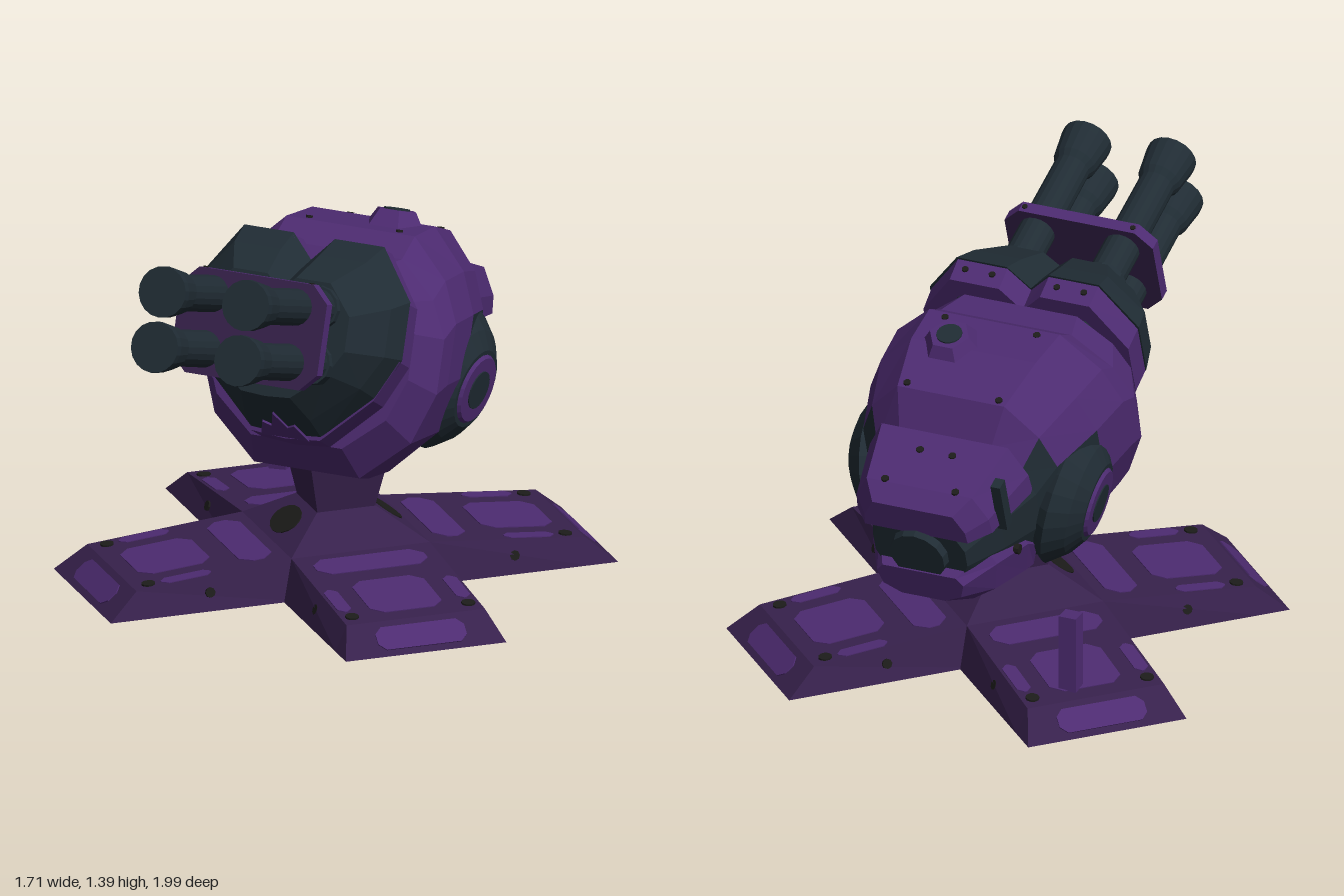
import * as THREE from 'three';

const mat = (name, color, side = THREE.FrontSide) => {
  const m = new THREE.MeshStandardMaterial({ color, side, flatShading: true });
  m.name = name;
  return m;
};
const light = mat('purple', 0x4d2b71);
const dark = mat('deepPurple', 0x37214c, THREE.DoubleSide);
const slate = mat('slate', 0x202c34);
const black = mat('black', 0x1c1c1a);
const PAINTS = [light, dark, slate, black];

function add(parent, name, geo, material, pos = [0, 0, 0], rot = [0, 0, 0]) {
  const m = new THREE.Mesh(geo, material);
  m.name = name;
  m.position.set(...pos);
  m.rotation.set(...rot);
  parent.add(m);
  return m;
}

function group(parent, name, pos = [0, 0, 0], rot = [0, 0, 0]) {
  const g = new THREE.Group();
  g.name = name;
  g.position.set(...pos);
  g.rotation.set(...rot);
  parent.add(g);
  return g;
}

// Skins rings (counter-clockwise seen from +z, ordered back to front);
// paint picks a colour per face, or -1 to leave it open
function loft(rings, paint = () => 0) {
  const tris = PAINTS.map(() => []);
  const n = rings[0].length;
  const put = (k, ...pts) => {
    if (k >= 0) pts.forEach((p) => tris[k].push(...p));
  };
  for (let i = 0; i < rings.length - 1; i++) {
    for (let j = 0; j < n; j++) {
      const q = (j + 1) % n, k = paint(i, j);
      const a = rings[i][j], b = rings[i][q], c = rings[i + 1][q], d = rings[i + 1][j];
      put(k, a, b, c);
      put(k, a, c, d);
    }
  }
  [0, rings.length - 1].forEach((e) => {
    const r = rings[e], k = paint(e ? e - 1 : 0, 0);
    const mid = [0, 1, 2].map((ax) => r.reduce((s, p) => s + p[ax], 0) / n);
    for (let j = 0; j < n; j++) {
      const q = (j + 1) % n;
      if (e) put(k, mid, r[j], r[q]);
      else put(k, mid, r[q], r[j]);
    }
  });
  const geo = new THREE.BufferGeometry();
  geo.setAttribute('position', new THREE.Float32BufferAttribute(tris.flat(), 3));
  let start = 0;
  tris.forEach((t, k) => {
    if (t.length) geo.addGroup(start, t.length / 3, k);
    start += t.length / 3;
  });
  geo.computeVertexNormals();
  return geo;
}

// Mirrors a half outline (bottom centre to top centre) and fits it to [z, top, bottom, halfWidth]
function ring(half, [z, top, bot, w]) {
  const left = half.filter((p) => p[0] > 0).reverse().map(([x, t]) => [-x, t]);
  return [...half, ...left].map(([x, t]) => [x * w, bot + ((t + 1) / 2) * (top - bot), z]);
}
const shell = (half, sections, paint) => loft(sections.map((s) => ring(half, s)), paint);

const vec2s = (pts) => pts.map((p) => new THREE.Vector2(...p));

// Thin panel with clipped corners, lying in xy
function panel(w, h, cut, depth) {
  const s = new THREE.Shape(vec2s([
    [-w + cut, -h], [w - cut, -h], [w, -h + cut], [w, h - cut],
    [w - cut, h], [-w + cut, h], [-w, h - cut], [-w, -h + cut],
  ]));
  return new THREE.ExtrudeGeometry(s, { depth, bevelEnabled: false });
}

const disc = (r, h, sides = 8) => new THREE.CylinderGeometry(r, r, h, sides);

// Hollow four-armed stand, open underneath; painted panels show on both faces of the sheet
function buildBase(model) {
  const base = group(model, 'base', [0, 0, -0.145]);
  add(base, 'hubSlope', new THREE.CylinderGeometry(0.15, 0.354, 0.1, 4, 1, true), dark, [0, 0.19, 0]);
  add(base, 'neck', new THREE.CylinderGeometry(0.23, 0.145, 0.3, 4), dark, [0, 0.38, 0]);
  add(base, 'neckFloor', new THREE.CylinderGeometry(0.14, 0.14, 0.008, 4), light, [0, 0.228, 0]);

  const armRing = (u, y, v) => [[-0.29, 0, u], [0.29, 0, u], [v, y, u], [-v, y, u]];
  const armGeo = loft(
    [armRing(0.25, 0.14, 0.25), armRing(0.81, 0.09, 0.25), armRing(0.917, 0, 0.29)],
    (i, j) => (j === 0 ? -1 : 1),
  );
  const up = [-Math.PI / 2, 0, 0];
  for (let k = 0; k < 4; k++) {
    const arm = group(base, 'arm', [0, 0, 0], [0, Math.PI / 4 + (k * Math.PI) / 2, 0]);
    add(arm, 'armSheet', armGeo, PAINTS);
    const deck = group(arm, 'deck', [0, 0.137, 0.25], [0.089, 0, 0]);
    add(deck, 'deckPanel', panel(0.13, 0.13, 0.04, 0.006), light, [0, 0, 0.37], up);
    add(deck, 'innerPanel', panel(0.2, 0.06, 0.04, 0.006), light, [0, 0, 0.1], up);
    for (const s of [-1, 1]) {
      add(deck, 'edgePanel', panel(0.025, 0.09, 0.02, 0.006), light, [s * 0.215, 0, 0.37], up);
      add(deck, 'deckBolt', disc(0.024, 0.012, 10), black, [s * 0.21, 0.003, 0.505]);
      add(arm, 'sideBolt', disc(0.018, 0.012), black, [s * 0.267, 0.06, 0.55], [0, 0, s * (0.37 - Math.PI / 2)]);
    }
    add(arm, 'endPanel', panel(0.16, 0.045, 0.025, 0.008), light, [0, 0.042, 0.861], [-0.87, 0, 0]);
    // Oval vents on two opposite hub slopes
    if (k % 2) {
      const vent = add(arm, 'vent', disc(0.06, 0.009, 16), black, [0, 0.188, 0.18], [0.607, 0, 0]);
      vent.scale.x = 1.4;
    }
  }
  add(base, 'post', new THREE.BoxGeometry(0.064, 0.29, 0.06), light, [-0.472, 0.23, -0.555]);
}

function buildHead(model) {
  const head = group(model, 'head', [0, 0.8, 0], [-0.33, 0, 0]);

  // Main shell with dark flanks and tail
  const hull = [[0, -1], [0.45, -1], [0.84, -0.62], [1, -0.15], [1, 0.35], [0.86, 0.68], [0.55, 1], [0, 1]];
  const n = hull.length * 2 - 2;
  const darkSides = [[0, 9], [0, 9], [1, 4], [1, 3]];
  add(head, 'shell', shell(hull, [
    [-0.91, 0.24, -0.03, 0.17], [-0.75, 0.31, -0.16, 0.24], [-0.6, 0.36, -0.235, 0.31], [-0.51, 0.474, -0.29, 0.36],
    [-0.3, 0.49, -0.36, 0.42], [-0.12, 0.455, -0.385, 0.44], [-0.04, 0.375, -0.386, 0.44], [0.08, 0.34, -0.29, 0.38],
  ], (i, j) => {
    const side = Math.min(j, n - 1 - j);
    return i < 4 && side >= darkSides[i][0] && side <= darkSides[i][1] ? 2 : 0;
  }), PAINTS);

  // Front shroud: dark core, purple band, twin-lobed nose
  const lobe = [[0, -1], [0.34, -0.97], [0.8, -0.5], [1, -0.08], [1, 0.5], [0.68, 1], [0.2, 1], [0, 0.76]];
  add(head, 'shroudCore', shell(lobe, [[0.02, 0.3, -0.25, 0.34], [0.12, 0.33, -0.26, 0.35]]), [slate]);
  add(head, 'shroudBand', shell(lobe, [[0.085, 0.395, -0.3, 0.38], [0.18, 0.412, -0.28, 0.383]]), [light]);
  add(head, 'shroud', shell(lobe, [[0.17, 0.418, -0.272, 0.388], [0.27, 0.36, -0.212, 0.365], [0.395, 0.278, -0.137, 0.27]]), [slate]);
  const chin = new THREE.Shape(vec2s([[-0.09, 0], [0.09, 0], [0.06, 0.09], [0.03, 0.07], [0, 0.16], [-0.03, 0.07], [-0.06, 0.09]]));
  add(head, 'chinPaint', new THREE.ExtrudeGeometry(chin, { depth: 0.008, bevelEnabled: false }), light, [0, -0.271, 0.173], [1.03, 0, 0]);
  for (const x of [-0.22, -0.12, 0.12, 0.22]) {
    add(head, 'bandBolt', disc(0.012, 0.012), black, [x, 0.403, 0.135]);
  }

  // Four barrels and their brace
  const barrel = new THREE.LatheGeometry(vec2s([[0.066, 0.28], [0.063, 0.875], [0.076, 0.9], [0.088, 0.99], [0.088, 1.02], [0, 1.02]]), 18);
  for (const x of [-0.157, 0.157]) {
    for (const y of [0, 0.19]) {
      add(head, 'barrel', barrel, slate, [x, y, 0], [Math.PI / 2, 0, 0]);
      add(head, 'barrelCollar', new THREE.CylinderGeometry(0.075, 0.08, 0.06, 12), slate, [x, y, 0.385], [Math.PI / 2, 0, 0]);
    }
  }
  add(head, 'barrelBrace', panel(0.275, 0.182, 0.06, 0.045), [dark, light], [0, 0.093, 0.562]);
  for (const x of [-0.2, 0.2]) add(head, 'braceBolt', disc(0.01, 0.008), black, [x, 0.275, 0.585]);

  // Round side joints, bulging from the flanks and tilted slightly down
  const dome = new THREE.LatheGeometry(vec2s([[0, -0.15], [0.19, -0.15], [0.255, -0.06], [0.2, 0.005], [0.14, 0.045], [0, 0.045]]), 24);
  for (const s of [-1, 1]) {
    const joint = group(head, 'sideJoint', [s * 0.38, -0.03, -0.395], [0, 0, -s * (Math.PI / 2 + 0.21)]);
    add(joint, 'jointDome', dome, slate);
    add(joint, 'jointRing', new THREE.CylinderGeometry(0.115, 0.132, 0.02, 24), light, [0, 0.046, 0]);
    add(joint, 'jointHub', disc(0.068, 0.006, 20), slate, [0, 0.057, 0]);
  }

  // Rear visor, jaw and tail port
  const visor = [[0, -1], [1, -1], [0.98, -0.2], [0.78, 1], [0, 1]];
  add(head, 'rearVisor', shell(visor, [[-0.915, 0.32, 0.205, 0.19], [-0.84, 0.352, 0.2, 0.25], [-0.6, 0.372, 0.18, 0.3]]), [light]);
  const jaw = [[0, -1], [0.5, -1], [0.9, -0.45], [1, 0.5], [0.85, 1], [0, 1]];
  add(head, 'rearJaw', shell(jaw, [
    [-0.945, 0.05, -0.07, 0.16], [-0.81, 0.08, -0.18, 0.23], [-0.66, 0.05, -0.23, 0.28], [-0.6, -0.03, -0.24, 0.28],
  ]), [light]);
  add(head, 'tailPort', new THREE.CylinderGeometry(0.125, 0.1, 0.14, 14), slate, [0, 0.115, -0.87], [Math.PI / 2, 0, 0]);
  add(head, 'antenna', new THREE.BoxGeometry(0.035, 0.2, 0.045), slate, [-0.268, 0.28, -0.775]);
  for (const s of [-1, 1]) {
    add(head, 'visorBolt', disc(0.014, 0.012), black, [s * 0.13, 0.353, -0.83]);
    add(head, 'visorBolt', disc(0.014, 0.012), black, [s * 0.06, 0.364, -0.68]);
    add(head, 'jawBolt', disc(0.018, 0.02), black, [s * 0.262, 0, -0.71], [0, 0, Math.PI / 2]);
    add(head, 'shellBolt', disc(0.013, 0.012), black, [s * 0.17, 0.461, -0.15]);
    add(head, 'shellBolt', disc(0.013, 0.012), black, [s * 0.17, 0.476, -0.49]);
  }

  // Hexagonal roof hatch
  add(head, 'hatch', new THREE.CylinderGeometry(0.072, 0.11, 0.06, 6), light, [0.092, 0.497, -0.28], [0, Math.PI / 6, 0]);
  add(head, 'hatchCentre', disc(0.045, 0.008, 16), slate, [0.092, 0.528, -0.28]);
}

export function createModel() {
  const model = new THREE.Group();
  model.name = 'turret';
  buildBase(model);
  buildHead(model);
  return model;
}
